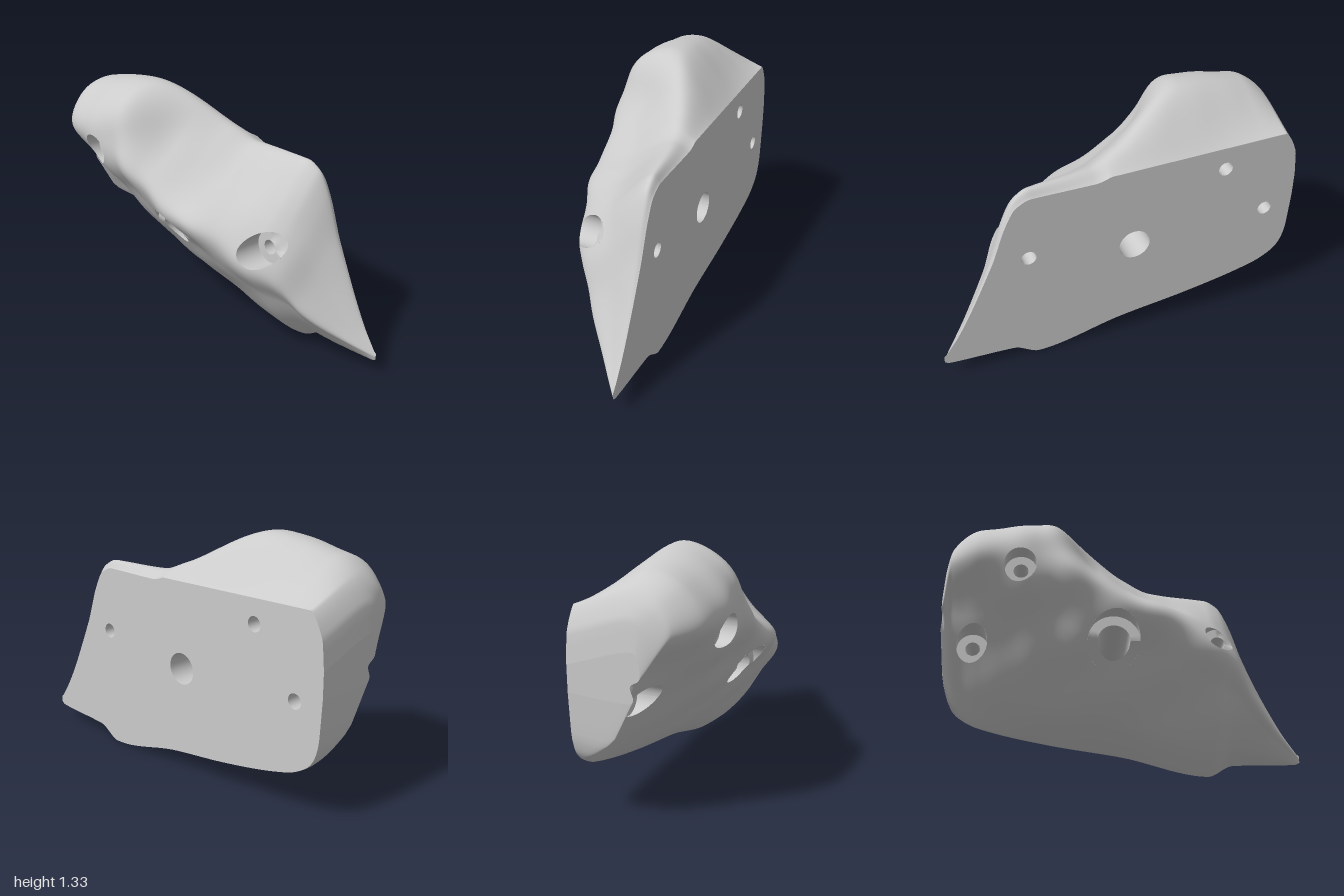
import * as THREE from 'three';

const BACK = -0.33;
const { lerp, smoothstep } = THREE.MathUtils;

// Smooth monotone curve through a few [x, value] points
function curve(...P) {
  const last = P.length - 1;
  const slope = k => (P[k + 1][1] - P[k][1]) / (P[k + 1][0] - P[k][0]);
  const tangent = k => {
    if (k === 0) return slope(0);
    if (k === last) return slope(last - 1);
    const a = slope(k - 1), b = slope(k);
    return a * b <= 0 ? 0 : (2 * a * b) / (a + b);
  };
  return x => {
    let i = 0;
    while (i < last - 1 && x > P[i + 1][0]) i++;
    const h = P[i + 1][0] - P[i][0], t = (x - P[i][0]) / h, t2 = t * t, t3 = t2 * t;
    return (2 * t3 - 3 * t2 + 1) * P[i][1] + (t3 - 2 * t2 + t) * h * tangent(i)
      + (3 * t2 - 2 * t3) * P[i + 1][1] + (t3 - t2) * h * tangent(i + 1);
  };
}

// Outline and ridge line along x
const bottomY = curve([-1, 0.68], [-0.985, 0.45], [-0.95, 0.35], [-0.9, 0.3], [-0.8, 0.25],
  [-0.4, 0.16], [0, 0.1], [0.48, 0], [0.62, 0.065], [0.98, 0.08], [1, 0.1]);
const topY = curve([-1, 0.92], [-0.985, 1.07], [-0.9, 1.21], [-0.8, 1.265], [-0.42, 1.325],
  [0, 1.13], [0.15, 1.075], [0.48, 1.07], [0.56, 1.03], [0.62, 0.92], [0.7, 0.69], [0.9, 0.27], [1, 0.12]);
const ridgeY = curve([-1, 0.8], [-0.95, 1.01], [-0.42, 1], [-0.2, 0.87], [0, 0.78], [0.25, 0.71],
  [0.48, 0.6], [0.62, 0.5], [0.7, 0.38], [0.8, 0.27], [1, 0.11]);
const ridgeZ = curve([-1, 0.06], [-0.95, 0.2], [-0.8, 0.285], [-0.5, 0.325], [0, 0.26],
  [0.48, 0.13], [0.6, 0.05], [0.68, -0.03], [0.8, -0.14], [1, -0.328]);
const topZ = curve([-1, 0.03], [-0.42, -0.04], [0, -0.2], [0.3, -0.27], [1, BACK]);
// The left end is thick at its lower rim; the top overhangs a nearly straight back edge
const bottomZ = x => BACK + 0.33 * Math.exp(-30 * (x + 1)) + 0.004 * (1 - x);
const backTopY = x => Math.min(1.06 - 0.035 * x,
  topY(x) - lerp(0.1, 0.04, smoothstep(x, -0.9, 0.2)) * (1 - smoothstep(x, 0.5, 0.8)));

// Bolt holes: centre, counterbore radius, bore radius, counterbore depth
const HOLES = [
  { x: -0.575, y: 0.95, R: 0.087, r: 0.04, depth: 0.09 },
  { x: -0.835, y: 0.63, R: 0.087, r: 0.04, depth: 0.08 },
  { x: 0.51, y: 0.665, R: 0.087, r: 0.04, depth: 0.08 },
  { x: -0.07, y: 0.59, R: 0.14, r: 0.086, depth: -0.01 },
];

// Columns are packed more tightly at the rounded left end
const columnX = t => -1 + 2 * Math.pow(t, 1.25);

// Cross-section at x, from the back's lower edge over the front to its upper edge
const SAMPLES = 168;
function section(x) {
  const bot = bottomY(x), zb = bottomZ(x), yr = ridgeY(x), zr = ridgeZ(x), top = topY(x), zt = topZ(x);
  const ramp = smoothstep(x, -0.45, -0.15), full = smoothstep(x, -1, -0.4);
  const P = (y, z) => new THREE.Vector3(x, y, z);
  const pts = new THREE.CatmullRomCurve3([
    P(bot, BACK),
    P(bot, zb),
    P(lerp(bot, yr, 0.17), lerp(zb, zr, lerp(0.17, 0.29, full))),
    P(lerp(bot, yr, 0.65), lerp(zb, zr, 0.73) + lerp(-0.1, 0.03, full) * (zr - BACK)),
    P(yr, zr),
    P(lerp(yr, top, lerp(0.77, 0.5, ramp)), lerp(zr, zt, lerp(0.33, 0.48, ramp))),
    P(top, zt),
    P(backTopY(x), BACK),
  ]).getPoints(SAMPLES);
  // gentle weathered ripples
  for (const p of pts) {
    const w = Math.max(0, p.z - BACK) / 0.65;
    p.z += 0.008 * w * (Math.sin(11 * x + 9 * p.y) + Math.sin(19 * p.y - 7 * x + 1)
      + 0.6 * Math.sin(27 * x + 4 * p.y));
    p.z = Math.max(p.z, BACK);
  }
  return pts;
}

// Front surface height
function height(x, y) {
  const s = section(x);
  for (let j = 0; j < SAMPLES; j++) {
    const a = s[j], b = s[j + 1];
    if (a.y <= y && b.y >= y && b.y > a.y) return lerp(a.z, b.z, (y - a.y) / (b.y - a.y));
  }
  return BACK;
}

function indexed(positions, index) {
  const g = new THREE.BufferGeometry();
  g.setAttribute('position', new THREE.Float32BufferAttribute(positions, 3));
  g.setIndex(index);
  g.computeVertexNormals();
  return g;
}

// Sculpted skin: sections lofted along x, opened round each counterbore
function skinGeometry() {
  const COLS = 180, row = SAMPLES + 1, pos = [], inside = [], index = [];
  for (let i = 0; i <= COLS; i++) {
    for (const p of section(columnX(i / COLS))) {
      const hole = HOLES.find(h => Math.hypot(p.x - h.x, p.y - h.y) < h.R);
      if (hole) {
        // move the vertex out to the rim of the hole
        const f = hole.R / Math.max(Math.hypot(p.x - hole.x, p.y - hole.y), 1e-4);
        p.x = hole.x + (p.x - hole.x) * f;
        p.y = hole.y + (p.y - hole.y) * f;
        p.z = height(p.x, p.y);
      }
      inside.push(Boolean(hole));
      pos.push(p.x, p.y, p.z);
    }
  }
  for (let i = 0; i < COLS; i++) {
    for (let j = 0; j < SAMPLES; j++) {
      const a = i * row + j, b = a + row;
      if ([a, b, a + 1, b + 1].every(v => inside[v])) continue;
      index.push(a, b, b + 1, a, b + 1, a + 1);
    }
  }
  return indexed(pos, index);
}

// One band of a hole between two rings given as functions of angle
function band(outer, inner, steps) {
  const SEG = 48, pos = [], index = [];
  for (let k = 0; k <= steps; k++) {
    for (let s = 0; s <= SEG; s++) {
      const a = (s / SEG) * Math.PI * 2;
      pos.push(...outer(a).lerp(inner(a), k / steps).toArray());
      if (k < steps && s < SEG) {
        const v = k * (SEG + 1) + s, w = v + SEG + 1;
        index.push(v, v + 1, w + 1, v, w + 1, w);
      }
    }
  }
  return indexed(pos, index);
}

export function createModel() {
  const group = new THREE.Group();
  const mat = new THREE.MeshStandardMaterial({ color: 0xcccccc, side: THREE.DoubleSide });
  const add = (parent, name, geo) => {
    const m = new THREE.Mesh(geo, mat);
    m.name = name;
    parent.add(m);
  };

  add(group, 'sculptedBody', skinGeometry());

  // flat left end
  const ring = section(-1), cap = [-1, 0.8, -0.15], capIndex = [];
  ring.forEach((p, j) => {
    cap.push(p.x, p.y, p.z);
    capIndex.push(0, j + 1, ((j + 1) % ring.length) + 1);
  });
  add(group, 'leftEnd', indexed(cap, capIndex));

  // flat mounting face, drawn mirrored then turned to face the rear
  const lower = [], upper = [];
  for (let i = 0; i <= 180; i++) {
    const x = columnX(i / 180);
    lower.push(new THREE.Vector2(-x, bottomY(x)));
    upper.unshift(new THREE.Vector2(-x, backTopY(x)));
  }
  const face = new THREE.Shape([...lower, ...upper]);
  for (const h of HOLES) face.holes.push(new THREE.Path().absarc(-h.x, h.y, h.r, 0, Math.PI * 2));
  add(group, 'mountingFace', new THREE.ShapeGeometry(face, 24).rotateY(Math.PI).translate(0, 0, BACK));

  // counterbored holes
  HOLES.forEach((h, n) => {
    const hole = new THREE.Group();
    hole.name = n === 3 ? 'centreHole' : 'boltHole' + (n + 1);
    const floor = height(h.x, h.y) - h.depth;
    const ringAt = (r, zOf) => a => {
      const x = h.x + r * Math.cos(a), y = h.y + r * Math.sin(a);
      return new THREE.Vector3(x, y, zOf(x, y));
    };
    const seat = (x, y) => Math.min(height(x, y), floor), rear = () => BACK;
    add(hole, 'counterboreWall', band(ringAt(h.R, height), ringAt(h.R, seat), 1));
    add(hole, 'counterboreSeat', band(ringAt(h.R, seat), ringAt(h.r, seat), 3));
    add(hole, 'bore', band(ringAt(h.r, seat), ringAt(h.r, rear), 1));
    group.add(hole);
  });

  return group;
}
